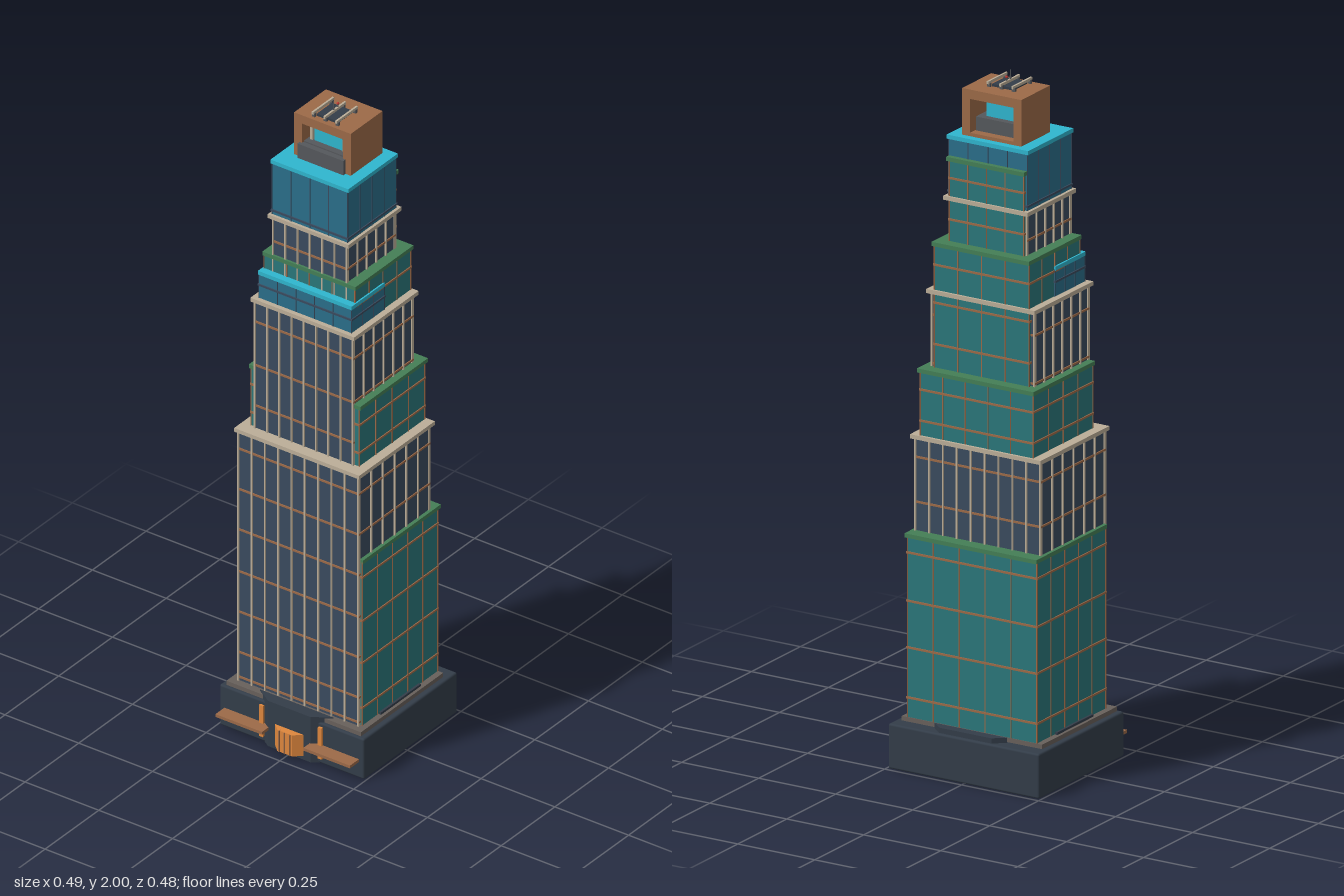
import * as THREE from 'three';
import { RoundedBoxGeometry } from 'three/addons/geometries/RoundedBoxGeometry.js';

const mat = (color) => new THREE.MeshStandardMaterial({ color });
const M = {
  stone: mat(0x333d49), glass: mat(0x3a4b5f), teal: mat(0x2a777a), blue: mat(0x2a6e8a),
  cyan: mat(0x2fb6cf), green: mat(0x447f56), beige: mat(0xbcae98), copper: mat(0x9c6a48),
  orange: mat(0xde873d), trim: mat(0x68605b), grey: mat(0x55585c), red: mat(0xc23a34),
};

export function createModel() {
  const model = new THREE.Group();

  const add = (name, geometry, material, parent = model) => {
    const mesh = new THREE.Mesh(geometry, material);
    mesh.name = name;
    parent.add(mesh);
    return mesh;
  };
  // Box given by its limits on each axis
  const box = (name, [x0, x1], [y0, y1], [z0, z1], material, parent) => {
    const mesh = add(name, new THREE.BoxGeometry(x1 - x0, y1 - y0, z1 - z0), material, parent);
    mesh.position.set((x0 + x1) / 2, (y0 + y1) / 2, (z0 + z1) / 2);
    return mesh;
  };
  // Upright prism with a trapezoid plan
  const bay = (name, wide, zWide, narrow, zNarrow, y0, y1, material) => {
    const pts = [[-wide, zWide], [wide, zWide], [narrow, zNarrow], [-narrow, zNarrow]];
    const shape = new THREE.Shape(pts.map(([x, z]) => new THREE.Vector2(x, -z)));
    const g = new THREE.ExtrudeGeometry(shape, { depth: y1 - y0, bevelEnabled: false });
    g.rotateX(-Math.PI / 2);
    add(name, g, material).position.y = y0;
  };

  // One tower tier: glazed body, vertical fins on all faces, floor bands and a roof slab
  const tier = (t) => {
    const group = new THREE.Group();
    group.name = t.name;
    model.add(group);
    const { w, z: [zb, zf], y: [y0, y1] } = t;
    box('glazing', [-w, w], [y0, y1], [zb, zf], t.body, group);
    const fw = t.finWidth, p = t.proud;
    for (let i = 0; i <= t.nx; i++) {
      const x = -w + (2 * w * i) / t.nx;
      for (const z of [zb, zf])
        box('fin', [x - fw, x + fw], [y0, y1], [z - p, z + p], t.fin, group);
    }
    for (let i = 1; i < t.nz; i++) {
      const z = zb + ((zf - zb) * i) / t.nz;
      for (const x of [-w, w])
        box('fin', [x - p, x + p], [y0, y1], [z - fw, z + fw], t.fin, group);
    }
    for (const y of t.bands)
      box('floorBand', [-w - 0.003, w + 0.003], [y - 0.003, y + 0.003], [zb - 0.003, zf + 0.003], t.band ?? M.copper, group);
    const [cx, cb, cf] = t.cap;
    box('roofSlab', [-cx, cx], [y1 - 0.005, y1 + 0.007], [cb, cf], t.capMat, group);
  };

  // Podium
  const podium = add('podium', new RoundedBoxGeometry(0.49, 0.13, 0.435, 2, 0.006), M.stone);
  podium.position.set(0, 0.065, -0.0225);
  box('podiumTrim', [-0.228, 0.228], [0.12, 0.143], [-0.197, 0.186], M.trim);
  bay('portico', 0.125, 0.172, 0.072, 0.207, 0, 0.146, M.stone);
  bay('rearBay', 0.118, -0.203, 0.085, -0.231, 0.12, 0.145, M.stone);
  bay('entrance', 0.05, 0.205, 0.025, 0.228, 0.012, 0.08, M.orange);
  for (const x of [-0.018, 0, 0.018])
    box('doorMullion', [x - 0.0015, x + 0.0015], [0.012, 0.08], [0.22, 0.231], M.copper);
  for (const s of [-1, 1]) {
    const span = (a, b) => (s > 0 ? [a, b] : [-b, -a]);
    box('canopy', span(0.07, 0.228), [0.052, 0.061], [0.19, 0.237], M.copper);
    box('entrancePillar', span(0.093, 0.106), [0.018, 0.118], [0.19, 0.202], M.orange);
    box('sideLedge', span(0.212, 0.219), [0.135, 0.15], [-0.105, 0.08], M.stone);
  }

  // Dark front shafts with light fins
  const dark = { body: M.glass, fin: M.beige, finWidth: 0.0022, proud: 0.005, capMat: M.beige };
  tier({ ...dark, name: 'lowerShaft', w: 0.203, z: [-0.165, 0.162], y: [0.143, 0.95], nx: 9, nz: 6,
    bands: [0.155, 0.235, 0.365, 0.495, 0.63, 0.76, 0.89], cap: [0.212, -0.18, 0.172] });
  tier({ ...dark, name: 'middleShaft', w: 0.166, z: [-0.138, 0.136], y: [0.95, 1.37], nx: 8, nz: 6,
    bands: [1.03, 1.16, 1.30], cap: [0.176, -0.154, 0.146] });
  tier({ ...dark, name: 'upperShaft', w: 0.125, z: [-0.112, 0.108], y: [1.37, 1.64], nx: 6, nz: 5,
    bands: [1.44, 1.56], cap: [0.137, -0.128, 0.119] });

  // Teal rear volumes with planted roofs
  const teal = { body: M.teal, fin: M.copper, finWidth: 0.0015, proud: 0.002, capMat: M.green };
  tier({ ...teal, name: 'rearVolume1', w: 0.21, z: [-0.195, 0.155], y: [0.143, 0.67], nx: 5, nz: 5,
    bands: [0.20, 0.345, 0.48, 0.62], cap: [0.214, -0.205, 0.157] });
  tier({ ...teal, name: 'rearVolume2', w: 0.183, z: [-0.172, 0.132], y: [0.95, 1.145], nx: 5, nz: 4,
    bands: [1.0, 1.09], cap: [0.189, -0.18, 0.135] });
  tier({ ...teal, name: 'rearVolume3', w: 0.154, z: [-0.147, 0.112], y: [1.14, 1.51], nx: 4, nz: 4,
    bands: [1.22, 1.34, 1.45], cap: [0.158, -0.155, 0.115] });
  tier({ ...teal, name: 'rearVolume4', w: 0.121, z: [-0.122, 0.05], y: [1.51, 1.755], nx: 4, nz: 3,
    bands: [1.58, 1.70], cap: [0.126, -0.13, 0.05] });

  // Blue glass setbacks
  const blue = { body: M.blue, fin: M.glass, finWidth: 0.001, proud: 0.0015, capMat: M.cyan, band: M.glass };
  tier({ ...blue, name: 'blueSetback', w: 0.157, z: [-0.02, 0.132], y: [1.37, 1.457], nx: 5, nz: 3,
    bands: [1.42], cap: [0.159, -0.02, 0.134] });
  tier({ ...blue, name: 'blueTop', w: 0.128, z: [-0.115, 0.11], y: [1.645, 1.815], nx: 4, nz: 4,
    bands: [1.66], cap: [0.132, -0.118, 0.113] });

  // Crown: copper frame open from front to back
  const frame = new THREE.Shape([[-0.096, 1.82], [0.096, 1.82], [0.096, 1.957], [-0.096, 1.957]]
    .map(([x, y]) => new THREE.Vector2(x, y)));
  frame.holes.push(new THREE.Path([[-0.07, 1.832], [-0.07, 1.93], [0.07, 1.93], [0.07, 1.832]]
    .map(([x, y]) => new THREE.Vector2(x, y))));
  add('crownFrame', new THREE.ExtrudeGeometry(frame, { depth: 0.148, bevelEnabled: false }), M.copper).position.z = -0.096;
  box('crownPlinth', [-0.068, 0.068], [1.83, 1.872], [-0.07, 0.045], M.grey);
  box('crownParapet', [-0.078, 0.078], [1.82, 1.868], [0.045, 0.062], M.grey);
  box('crownLantern', [-0.046, 0.046], [1.872, 1.917], [-0.05, 0.025], M.cyan);
  for (const x of [-0.055, 0.055])
    box('lanternPost', [x - 0.004, x + 0.004], [1.87, 1.932], [0.018, 0.028], M.beige);

  // Rooftop hatch, rails and mast
  box('roofHatch', [-0.035, 0.035], [1.95, 1.964], [-0.04, 0.03], M.stone);
  for (const x of [-0.04, 0, 0.04]) {
    box('roofRail', [x - 0.003, x + 0.003], [1.966, 1.974], [-0.054, 0.044], M.beige);
    for (const z of [-0.045, 0.036])
      box('railFoot', [x - 0.005, x + 0.005], [1.955, 1.968], [z - 0.004, z + 0.004], M.grey);
  }
  const mast = add('mast', new THREE.CylinderGeometry(0.0015, 0.003, 0.045, 8), M.grey);
  mast.position.set(0, 1.9775, 0);
  const beacon = add('beacon', new THREE.SphereGeometry(0.004, 10, 8), M.red);
  beacon.position.set(0, 1.985, -0.02);
  box('beaconPost', [-0.0015, 0.0015], [1.955, 1.985], [-0.0215, -0.0185], M.grey);

  return model;
}
